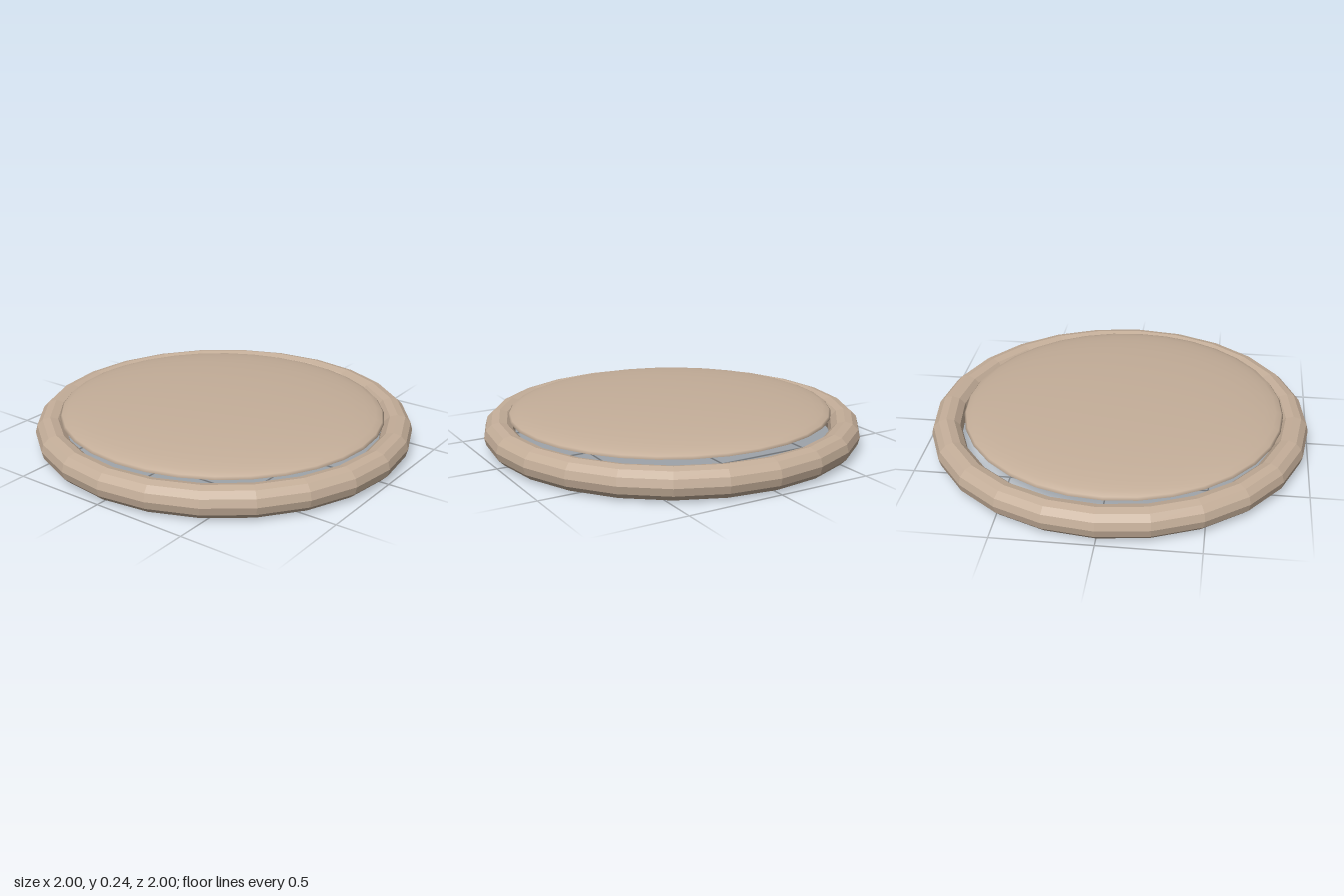
import * as THREE from 'three';

export function createModel() {
  const model = new THREE.Group();
  const color = 0xc4ae99;

  // Faceted ring lying flat
  const ring = new THREE.Mesh(
    new THREE.TorusGeometry(0.92, 0.08, 12, 24).rotateX(-Math.PI / 2),
    new THREE.MeshStandardMaterial({ color, flatShading: true })
  );
  ring.name = 'ring';
  ring.position.y = 0.08;
  model.add(ring);

  // Shallow smooth cushion, set slightly towards the front
  const cushion = new THREE.Group();
  cushion.name = 'cushion';
  cushion.position.set(0, 0.16, 0.02);
  cushion.scale.set(0.865, 0.08, 0.845);
  const smooth = new THREE.MeshStandardMaterial({ color });
  const dome = new THREE.Mesh(
    new THREE.SphereGeometry(1, 32, 10, 0, Math.PI * 2, 0, Math.PI / 2), smooth);
  dome.name = 'dome';

  // Flat underside closing the dome
  const underside = new THREE.Mesh(
    new THREE.CircleGeometry(1, 32).rotateX(Math.PI / 2), smooth);
  underside.name = 'underside';
  cushion.add(dome, underside);
  model.add(cushion);

  return model;
}
